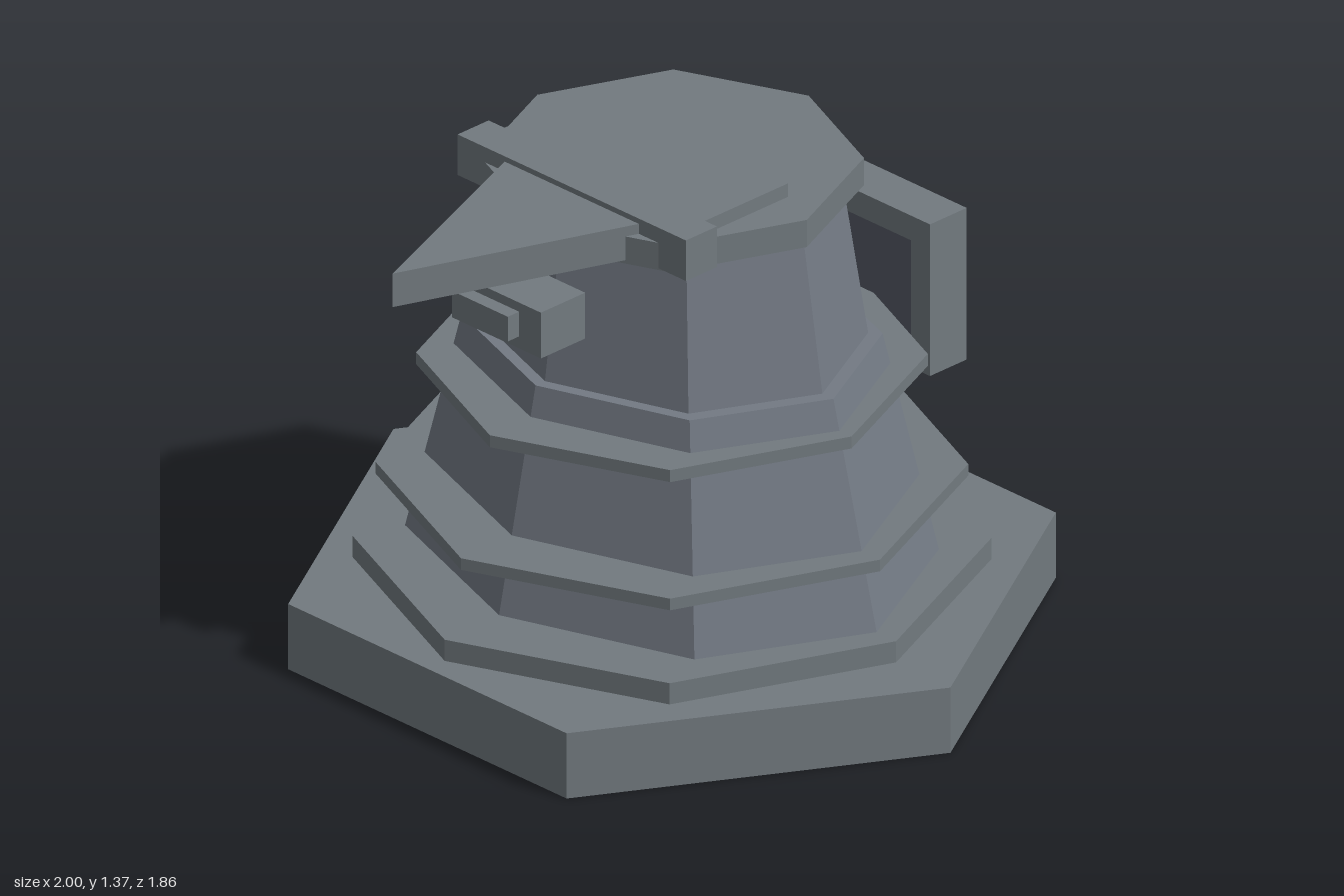
import * as THREE from 'three';

export function createModel() {
  const model = new THREE.Group();
  model.name = 'tower';
  const paint = (name, color) => {
    const m = new THREE.MeshStandardMaterial({ color, flatShading: true });
    m.name = name;
    return m;
  };
  const trim = paint('trim grey', 0x727a7f);
  const wall = paint('wall blue grey', 0x737a84);
  const dark = paint('recess slate', 0x555a66);
  const CZ = -0.065; // the tower axis sits slightly behind the centre

  const add = (name, geometry, material, parent = model) => {
    const mesh = new THREE.Mesh(geometry, material);
    mesh.name = name;
    parent.add(mesh);
    return mesh;
  };
  // Straight or tapered many-sided tier between two heights
  const tier = (name, rBottom, rTop, y0, y1, material, sides = 8, zScale = 1, turn = 0) => {
    const g = new THREE.CylinderGeometry(rTop, rBottom, y1 - y0, sides);
    g.rotateY(turn).scale(1, 1, zScale).translate(0, (y0 + y1) / 2, CZ);
    return add(name, g, material);
  };
  // Box given by its limits on each axis
  const block = (name, [x0, x1], [y0, y1], [z0, z1], material, parent) => {
    const g = new THREE.BoxGeometry(x1 - x0, y1 - y0, z1 - z0);
    g.translate((x0 + x1) / 2, (y0 + y1) / 2, (z0 + z1) / 2);
    return add(name, g, material, parent);
  };

  // Base, walls and ledges
  tier('base', 1, 1, 0, 0.185, trim, 6, 1, Math.PI / 2);
  tier('plinth', 0.805, 0.805, 0.185, 0.245, trim);
  tier('lowerWall', 0.735, 0.58, 0.245, 0.85, wall, 8, 0.833);
  tier('lowerLedge', 0.747, 0.747, 0.422, 0.455, trim);
  tier('upperLedge', 0.645, 0.645, 0.733, 0.767, trim);
  tier('upperWall', 0.54, 0.475, 0.85, 1.245, wall, 8, 0.833);
  tier('roof', 0.484, 0.484, 1.245, 1.322, trim);

  // Roof plate, crossbar and pointed beak
  block('roofPlate', [-0.36, 0.36], [1.32, 1.36], [-0.12, 0.2], trim);
  block('crossbar', [-0.41, 0.41], [1.25, 1.365], [0.18, 0.29], trim);
  const outline = new THREE.Shape([
    new THREE.Vector2(-0.26, -0.24),
    new THREE.Vector2(0, -0.925),
    new THREE.Vector2(0.26, -0.24),
  ]);
  const beak = new THREE.ExtrudeGeometry(outline, { depth: 0.095, bevelEnabled: false });
  beak.rotateX(-Math.PI / 2).translate(0, 1.255, 0);
  add('beak', beak, trim);

  // Front lamp
  block('lampHousing', [-0.16, 0.16], [1.035, 1.165], [0.4, 0.557], trim);
  block('lampLens', [-0.09, 0.09], [1.075, 1.145], [0.565, 0.605], trim);

  // Rear console: frame around a recessed panel with small controls
  const rear = new THREE.Group();
  rear.name = 'rearConsole';
  model.add(rear);
  const depth = [-0.79, -0.66];
  for (const s of [-1, 1]) {
    const xs = [s * 0.255, s * 0.323].sort((a, b) => a - b);
    block('frameSide', xs, [0.605, 1.035], depth, trim, rear);
  }
  block('frameTop', [-0.255, 0.255], [0.965, 1.035], depth, trim, rear);
  block('frameBottom', [-0.255, 0.255], [0.605, 0.65], depth, trim, rear);
  block('panel', [-0.255, 0.255], [0.65, 0.965], [-0.69, -0.66], dark, rear);
  block('shelf', [-0.255, 0.255], [0.65, 0.675], [-0.73, -0.69], trim, rear);
  for (const [x, y, w, h] of [[0.14, 0.765, 0.08, 0.06], [0, 0.73, 0.05, 0.04], [-0.13, 0.755, 0.06, 0.05]]) {
    block('control', [x - w / 2, x + w / 2], [y - h / 2, y + h / 2], [-0.72, -0.69], trim, rear);
  }
  return model;
}
